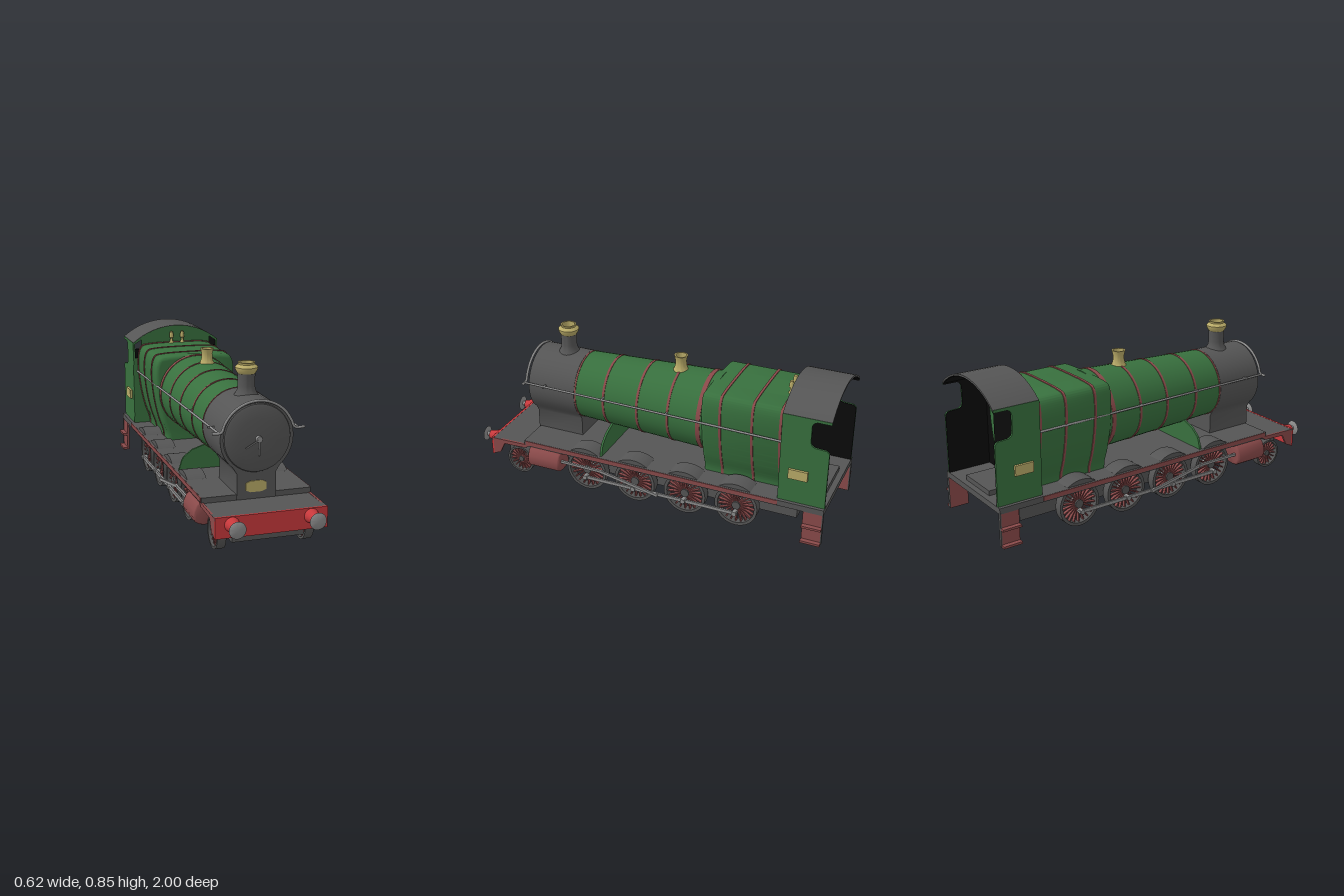
import * as THREE from 'three';
import { mergeGeometries, toCreasedNormals } from 'three/addons/utils/BufferGeometryUtils.js';

const mat = (name, color) => Object.assign(new THREE.MeshStandardMaterial({ color }), { name });
const V = (x, y, z) => new THREE.Vector3(x, y, z);
const P = (a) => a.map(([x, y]) => new THREE.Vector2(x, y));

export function createModel() {
  const root = new THREE.Group();
  root.name = 'steamLocomotive';
  const grey = mat('dark grey', 0x555555), green = mat('green', 0x38703e), maroon = mat('maroon', 0x8a4a4a);
  const red = mat('red', 0xc8393c), brass = mat('brass', 0xb9ab68), steel = mat('steel', 0x8c8c8c);
  const black = mat('black', 0x0a0a0a);

  const add = (name, geo, m, x = 0, y = 0, z = 0) => {
    const mesh = new THREE.Mesh(geo, m);
    mesh.name = name;
    mesh.position.set(x, y, z);
    root.add(mesh);
    return mesh;
  };
  const box = (name, m, x0, x1, y0, y1, z0, z1) =>
    add(name, new THREE.BoxGeometry(x1 - x0, y1 - y0, z1 - z0), m, (x0 + x1) / 2, (y0 + y1) / 2, (z0 + z1) / 2);
  // outline in x/y, pushed along +z; optional rounded ends
  const extrude = (shape, depth, bevel = 0) => toCreasedNormals(new THREE.ExtrudeGeometry(shape, {
    depth: depth - 2 * bevel, curveSegments: 12, bevelEnabled: bevel > 0, bevelSize: bevel,
    bevelThickness: bevel, bevelOffset: -bevel, bevelSegments: 4,
  }).translate(0, 0, bevel), 0.6);
  const outline = (pts) => new THREE.Shape(P(pts));
  const bothSides = (pts) => [...pts, ...pts.slice().reverse().map(([x, y]) => [-x, y])];
  // shape in z/y, spanning x0..x1
  const sidePlate = (name, shape, m, x0, x1, y = 0, z = 0) =>
    add(name, extrude(shape, x1 - x0).rotateY(-Math.PI / 2), m, x1, y, z);
  const lathe = (pts, seg = 32) => toCreasedNormals(new THREE.LatheGeometry(P(pts), seg), 0.7);
  const alongZ = (g) => g.rotateX(Math.PI / 2);
  const alongX = (g) => g.rotateZ(Math.PI / 2);
  const bar = (name, m, a, b, h, w) => {
    const r = add(name, new THREE.BoxGeometry(w, h, a.distanceTo(b)), m);
    r.position.copy(a).lerp(b, 0.5);
    r.lookAt(b);
  };
  const tube = (name, pts, r, m) =>
    add(name, new THREE.TubeGeometry(new THREE.CatmullRomCurve3(pts), 40, r, 8), m);

  // Frame, running plate and front platform
  sidePlate('mainFrame', outline([[0.86, 0.06], [0.86, 0.15], [0.8, 0.205], [-0.84, 0.205], [-0.84, 0.088], [0.45, 0.088], [0.68, 0.06]]), grey, -0.18, 0.18);
  box('runningPlate', grey, -0.279, 0.279, 0.205, 0.236, -1, 0.7);
  box('frontPlatform', grey, -0.28, 0.28, 0.19, 0.208, 0.69, 0.908);
  box('bufferBeam', red, -0.28, 0.28, 0.105, 0.209, 0.9, 0.912);
  box('cabFloorStep', grey, -0.12, 0.12, 0.236, 0.262, -0.97, -0.78);
  const bracket = outline([[0.9, 0.207], [0.9, 0.108], [0.86, 0.125], [0.83, 0.185], [0.7, 0.19], [0.66, 0.212]]);
  for (const s of [-1, 1]) {
    box('runningPlateEdge', maroon, s * 0.28 - 0.003, s * 0.28 + 0.003, 0.212, 0.235, -0.76, 0.69);
    sidePlate('beamBracket', bracket, maroon, s * 0.275 - 0.006, s * 0.275 + 0.006);
    // Buffers
    add('bufferHousing', alongZ(new THREE.CylinderGeometry(0.023, 0.037, 0.06, 24)), red, s * 0.197, 0.17, 0.94);
    add('bufferRod', alongZ(new THREE.CylinderGeometry(0.012, 0.012, 0.03, 12)), steel, s * 0.197, 0.17, 0.98);
    add('bufferHead', alongZ(lathe([[0, 0], [0.036, 0], [0.042, 0.004], [0.035, 0.008], [0, 0.011]])), steel, s * 0.197, 0.17, 0.989);
  }

  // Smokebox, saddle and door
  const bx = -0.005, by = 0.513;
  add('smokebox', alongZ(new THREE.CylinderGeometry(0.185, 0.185, 0.275, 40)), grey, bx, by, 0.57);
  add('smokeboxDoor', alongZ(lathe([[0.172, -0.005], [0.166, 0.008], [0.156, 0.012], [0.1, 0.018], [0, 0.022]], 40)), grey, bx, by, 0.707);
  add('saddle', extrude(outline(bothSides([[0.1, 0.21], [0.1, 0.34], [0.115, 0.365], [0.14, 0.4]])), 0.274), grey, bx, 0, 0.433);
  add('frontPlaque', extrude(outline([[-0.052, -0.018], [-0.03, -0.028], [0.03, -0.028], [0.052, -0.018], [0.052, 0.018], [0.03, 0.028], [-0.03, 0.028], [-0.052, 0.018]]), 0.007), brass, -0.008, 0.273, 0.705);
  add('doorHub', alongZ(new THREE.CylinderGeometry(0.015, 0.017, 0.024, 20)), steel, bx, by, 0.733);
  bar('doorHandle', steel, V(bx, by, 0.74), V(bx + 0.002, by - 0.082, 0.74), 0.006, 0.006);
  bar('doorHandle', steel, V(bx, by, 0.745), V(bx - 0.068, by - 0.038, 0.745), 0.006, 0.006);

  // Tapered boiler with bands
  const boilerR = (z) => 0.183 + (0.43 - z) * 0.038;
  add('boiler', alongZ(new THREE.CylinderGeometry(boilerR(0.433), boilerR(-0.35), 0.783, 40)), green, bx, by, 0.0415);
  for (const [z, w] of [[0.426, 0.008], [0.255, 0.013], [0.057, 0.013], [-0.12, 0.013], [-0.293, 0.024]])
    add('boilerBand', alongZ(new THREE.CylinderGeometry(boilerR(z) + 0.003, boilerR(z) + 0.003, w, 40)), maroon, bx, by, z);
  add('boilerSupport', extrude(outline(bothSides([[0.262, 0.235], [0.245, 0.29], [0.235, 0.305], [0.19, 0.34], [0.1, 0.37]])), 0.012), green, 0, 0, 0.232);

  // Firebox with bands; grow widens the outline
  const half = [[0.16, 0.21], [0.163, 0.27], [0.19, 0.35], [0.213, 0.45], [0.226, 0.55], [0.229, 0.62], [0.222, 0.675], [0.203, 0.707], [0.165, 0.716], [0.08, 0.72]];
  const fireboxShape = (grow) => {
    const pts = P(bothSides(half.map(([x, y]) => [x + grow, y > 0.65 ? y + grow : y])));
    return new THREE.Shape().moveTo(pts[0].x, pts[0].y).splineThru(pts.slice(1));
  };
  add('firebox', extrude(fireboxShape(0), 0.46, 0.02), green, bx, 0, -0.775);
  for (const z of [-0.42, -0.59, -0.737]) add('fireboxBand', extrude(fireboxShape(0.004), 0.013), maroon, bx, 0, z - 0.006);

  // Chimney, safety valve and whistles
  add('chimney', lathe([[0.075, -0.03], [0.055, 0], [0.045, 0.018], [0.042, 0.04], [0.043, 0.1]]), grey, bx, 0.695, 0.547);
  add('chimneyCap', lathe([[0.042, 0], [0.046, 0.005], [0.055, 0.022], [0.056, 0.032], [0.048, 0.04], [0.04, 0.046], [0.042, 0.056], [0.034, 0.056], [0.032, 0.01]]), brass, bx, 0.793, 0.547);
  add('chimneyBore', new THREE.CylinderGeometry(0.034, 0.034, 0.004, 24), grey, bx, 0.81, 0.547);
  add('safetyValve', lathe([[0.046, 0], [0.036, 0.015], [0.03, 0.035], [0.029, 0.06], [0.034, 0.082], [0.036, 0.09], [0.028, 0.09], [0.026, 0.05], [0, 0.05]]), brass, 0, 0.705, -0.115);
  for (const x of [-0.033, 0.033])
    add('whistle', lathe([[0.016, 0], [0.008, 0.014], [0.007, 0.03], [0.013, 0.034], [0.012, 0.05], [0.009, 0.068], [0, 0.072]], 16), brass, x, 0.718, -0.725);

  // Cab front with spectacle windows
  const arc = (r, n = 16) => Array.from({ length: n + 1 }, (_, i) => {
    const a = (i / n * 2 - 1) * 0.7;
    return [Math.sin(a) * r, 0.414 + Math.cos(a) * r];
  });
  const front = outline([[-0.26, 0.21], [0.26, 0.21], ...arc(0.403).reverse()]);
  for (const k of [-1, 1])
    front.holes.push(new THREE.Path(P([[k * 0.21, 0.63], [k * 0.21, 0.742], [k * 0.252, 0.715], [k * 0.252, 0.63]])));
  add('cabFront', extrude(front, 0.01), green, 0, 0, -0.763);
  add('cabFrontLining', extrude(front, 0.004), black, 0, 0, -0.768);
  // Roof and its lining
  const strip = (r0, r1) => outline([...arc(r0), ...arc(r1).reverse()]);
  add('cabRoof', extrude(strip(0.397, 0.405), 0.246), grey, 0, 0, -1);
  add('cabRoofLining', extrude(strip(0.393, 0.3965), 0.232), black, 0, 0, -0.999);

  // Cab sides with rounded cutout
  const side = outline([[-0.755, 0.212], [-0.755, 0.725], [-0.999, 0.725], [-0.999, 0.71], [-0.93, 0.71]]);
  side.quadraticCurveTo(-0.905, 0.705, -0.903, 0.68).lineTo(-0.903, 0.6);
  side.quadraticCurveTo(-0.905, 0.572, -0.93, 0.568).lineTo(-0.985, 0.565).lineTo(-0.999, 0.55);
  side.lineTo(-0.999, 0.212);
  for (const s of [-1, 1]) {
    sidePlate('cabSide', side, green, s * 0.257 - 0.004, s * 0.257 + 0.004);
    sidePlate('cabSideLining', side, black, s * 0.251 - 0.002, s * 0.251 + 0.002);
    box('windowShade', black, s * 0.23 - 0.02, s * 0.23 + 0.02, 0.63, 0.685, -0.775, -0.77);
    box('numberPlate', brass, s * 0.267 - 0.007, s * 0.267 + 0.007, 0.375, 0.428, -0.903, -0.803);
    // Cab steps
    box('stepBack', maroon, s * 0.27 - 0.006, s * 0.27 + 0.006, 0.03, 0.21, -0.998, -0.895);
    for (const y of [0.03, 0.12]) box('stepTread', maroon, s * 0.285 - 0.016, s * 0.285 + 0.016, y, y + 0.012, -0.998, -0.895);
    box('stepSide', grey, s * 0.272 - 0.008, s * 0.272 + 0.008, 0.03, 0.21, -1, -0.994);
  }
  box('backhead', black, -0.14, 0.14, 0.262, 0.65, -0.79, -0.77);

  // Spoked wheels
  const wheel = (r, n) => {
    const rim = alongX(lathe([[r * 0.86, -0.022], [r, -0.022], [r, 0.022], [r * 0.86, 0.022], [r * 0.86, -0.022]], 40));
    const spokes = Array.from({ length: n }, (_, i) =>
      new THREE.BoxGeometry(0.018, r * 0.75, 0.006).translate(0, r * 0.51, 0).rotateX(i / n * Math.PI * 2));
    return { rim, spokes: mergeGeometries(spokes), hub: alongX(new THREE.CylinderGeometry(r * 0.2, r * 0.2, 0.036, 20)) };
  };
  const driver = wheel(0.117, 22), leader = wheel(0.08, 18);
  const drivers = [0.335, 0.047, -0.243, -0.53];
  const placeWheel = (w, x, y, z) => {
    add('wheelRim', w.rim, grey, x, y, z);
    add('wheelSpokes', w.spokes, maroon, x, y, z);
    add('wheelHub', w.hub, grey, x, y, z);
  };
  const splasher = new THREE.Shape().absarc(0, 0, 0.145, 0.9, Math.PI - 0.9, false);
  const cylinder = [[0.2, 0.212], [0.27, 0.207], [0.292, 0.19], [0.306, 0.16], [0.31, 0.13], [0.3, 0.104], [0.28, 0.091], [0.25, 0.087], [0.18, 0.095]];
  for (const s of [-1, 1]) {
    placeWheel(leader, s * 0.221, 0.08, 0.755);
    for (const z of drivers) {
      placeWheel(driver, s * 0.225, 0.117, z);
      sidePlate('splasher', splasher, grey, s * 0.218 - 0.05, s * 0.218 + 0.05, 0.117, z);
      add('crankPin', alongX(new THREE.CylinderGeometry(0.013, 0.013, 0.035, 14)), steel, s * 0.257, 0.083, z);
    }
    // Cylinders and rods
    add('cylinder', extrude(outline(cylinder.map(([x, y]) => [s * x, y])), 0.195, 0.012), maroon, 0, 0, 0.475);
    bar('couplingRod', steel, V(s * 0.262, 0.083, 0.345), V(s * 0.262, 0.083, -0.545), 0.018, 0.01);
    bar('pistonRod', steel, V(s * 0.275, 0.153, 0.48), V(s * 0.275, 0.15, 0.22), 0.014, 0.012);
    bar('connectingRod', steel, V(s * 0.275, 0.15, 0.24), V(s * 0.275, 0.083, -0.1), 0.016, 0.01);
    // Boiler handrail and its posts
    tube('handrail', [V(s * 0.2, 0.553, 0.72), V(s * 0.217, 0.553, 0), V(s * 0.238, 0.553, -0.755)], 0.006, steel);
    for (const z of [0.6, 0.25, -0.12, -0.5])
      box('handrailPost', steel, s * 0.2 - 0.018, s * 0.2 + 0.018, 0.549, 0.557, z - 0.004, z + 0.004);
  }
  for (const z of drivers) add('axle', alongX(new THREE.CylinderGeometry(0.016, 0.016, 0.42, 14)), steel, 0, 0.117, z);
  add('leadingAxle', alongX(new THREE.CylinderGeometry(0.01, 0.01, 0.42, 14)), steel, 0, 0.08, 0.755);

  // Handrail arch over the smokebox front
  const arch = [V(-0.235, 0.553, 0.72), V(-0.188, 0.555, 0.722)];
  for (let i = 0; i <= 8; i++) {
    const a = Math.PI * (0.86 - i * 0.09);
    arch.push(V(bx + Math.cos(a) * 0.186, by + Math.sin(a) * 0.184, 0.722));
  }
  arch.push(V(0.182, 0.555, 0.722), V(0.232, 0.553, 0.72));
  tube('handrailArch', arch, 0.007, steel);
  return root;
}
